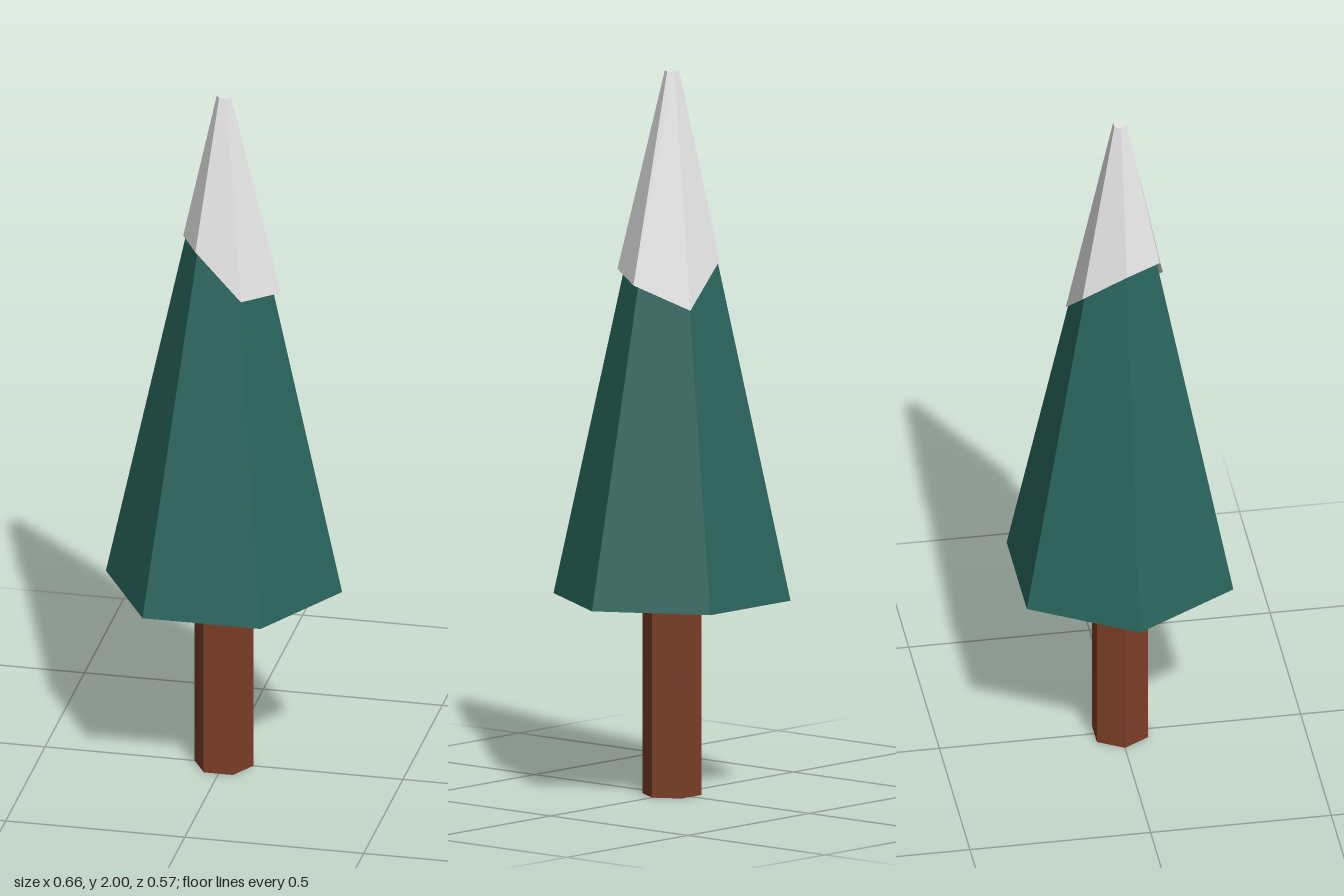
import * as THREE from 'three';

const makeMaterial = (name, color, side = THREE.FrontSide) => {
  const m = new THREE.MeshStandardMaterial({ color, side, flatShading: true });
  m.name = name;
  return m;
};

// Six-sided tapered column with corners on the x axis
function hexColumn(name, topR, bottomR, y0, y1, material, open) {
  const geo = new THREE.CylinderGeometry(topR, bottomR, y1 - y0, 6, 1, open, Math.PI / 2);
  geo.translate(0, (y0 + y1) / 2, 0);
  const mesh = new THREE.Mesh(geo, material);
  mesh.name = name;
  return mesh;
}

// Snow cap: hex frustum whose lower edge dips by a different amount at each corner
function snowCap(material) {
  // [radius, height] of the lower corners, going from +x towards +z
  const rim = [[0.159, 1.425], [0.152, 1.447], [0.116, 1.57], [0.114, 1.57], [0.133, 1.48], [0.158, 1.36]];
  const corner = (i, r, y) => {
    const a = (i * Math.PI) / 3;
    return [r * Math.cos(a), y, r * Math.sin(a)];
  };
  const pos = [];
  for (let i = 0; i < 6; i++) {
    const j = (i + 1) % 6;
    const a = corner(i, ...rim[i]), b = corner(j, ...rim[j]);
    const c = corner(i, 0.02, 2), d = corner(j, 0.02, 2);
    pos.push(...a, ...c, ...b, ...b, ...c, ...d); // side
    pos.push(...c, 0, 2, 0, ...d); // tip
    pos.push(...a, ...b, 0, 1.47, 0); // underside
  }
  const geo = new THREE.BufferGeometry();
  geo.setAttribute('position', new THREE.Float32BufferAttribute(pos, 3));
  geo.computeVertexNormals();
  const mesh = new THREE.Mesh(geo, material);
  mesh.name = 'snowCap';
  return mesh;
}

export function createModel() {
  const bark = makeMaterial('bark brown', 0x7d3f27, THREE.DoubleSide);
  const needles = makeMaterial('needle green', 0x29655c);
  const snow = makeMaterial('snow white', 0xf0f0f0);

  const tree = new THREE.Group();
  tree.name = 'snowyTree';
  tree.add(
    hexColumn('trunk', 0.082, 0.082, 0, 0.55, bark, true),
    hexColumn('foliage', 0.015, 0.33, 0.545, 1.99, needles, false),
    snowCap(snow),
  );
  return tree;
}
